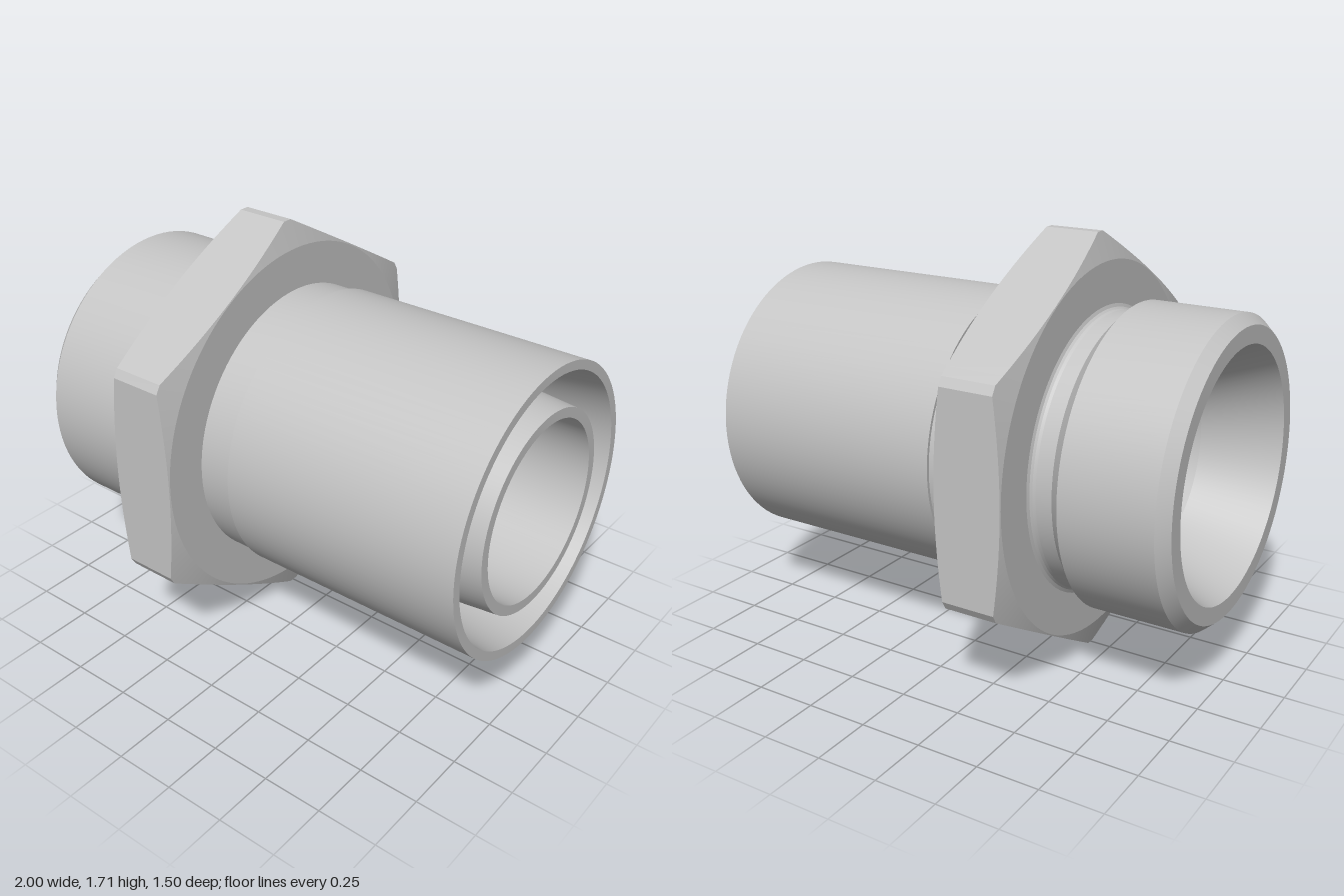
import * as THREE from 'three';
import { toCreasedNormals } from 'three/addons/utils/BufferGeometryUtils.js';

const AXIS_Y = 0.855;
const SEGMENTS = 96;

// Revolve [x, radius] points around the x axis, keeping profile corners sharp
function turned(points) {
  const profile = points.map(([x, r]) => new THREE.Vector2(r, x));
  const geometry = new THREE.LatheGeometry(profile, SEGMENTS);
  geometry.rotateZ(-Math.PI / 2);
  return toCreasedNormals(geometry, 0.15);
}

// Hexagonal collar with conical chamfers and trimmed corners, from rings of points
function hexCollar() {
  const flat = 0.75, corner = 0.855, faceR = 0.745, holeR = 0.54;
  const left = -0.44, right = -0.16, chamfer = 0.03;
  const cut = Math.acos(flat / corner);
  const steps = 20;
  const columns = [];
  for (let side = 0; side < 6; side++) {
    for (let i = 0; i <= steps; i++) {
      const a = -cut + (2 * cut * i) / steps;
      const r = flat / Math.cos(a);
      const inset = (chamfer * (r - faceR)) / (corner - faceR);
      const angle = (side * Math.PI) / 3 + a;
      const ring = [
        [left, holeR], [left, faceR], [left + inset, r],
        [right - inset, r], [right, faceR], [right, holeR],
      ];
      columns.push(ring.map(([x, d]) => [x, d * Math.sin(angle), d * Math.cos(angle)]));
    }
  }
  const positions = [];
  columns.forEach((c, i) => {
    const n = columns[(i + 1) % columns.length];
    for (let k = 0; k < c.length - 1; k++) {
      positions.push(...c[k], ...c[k + 1], ...n[k + 1]);
      positions.push(...c[k], ...n[k + 1], ...n[k]);
    }
  });
  const geometry = new THREE.BufferGeometry();
  geometry.setAttribute('position', new THREE.Float32BufferAttribute(positions, 3));
  return toCreasedNormals(geometry, 0.15);
}

export function createModel() {
  const model = new THREE.Group();
  model.name = 'pipeFitting';
  const steel = new THREE.MeshStandardMaterial({ color: 0xc4c4c4, side: THREE.DoubleSide });
  steel.name = 'steel grey';

  const add = (name, geometry) => {
    const mesh = new THREE.Mesh(geometry, steel);
    mesh.name = name;
    mesh.position.y = AXIS_Y;
    model.add(mesh);
  };

  // Socket end: rim, chamfer, body, undercut and fillet into the collar
  add('socketEnd', turned([
    [-1, 0.495], [-1, 0.565], [-0.955, 0.605], [-0.58, 0.605], [-0.53, 0.552],
    [-0.465, 0.552], [-0.453, 0.555], [-0.445, 0.562], [-0.44, 0.575],
  ]));

  add('hexCollar', hexCollar());

  // Long sleeve with a slightly narrower neck beside the collar
  add('sleeve', turned([
    [-0.16, 0.573], [-0.015, 0.573], [-0.015, 0.585], [1, 0.585], [1, 0.547],
  ]));

  // Tapered ring groove between the sleeve and the inner tube
  add('ringGroove', turned([[1, 0.547], [0.6, 0.498], [0.6, 0.443], [1, 0.407]]));

  // Inner tube tip, through bore and flared socket mouth
  add('bore', turned([[1, 0.407], [1, 0.366], [-0.7, 0.366], [-1, 0.495]]));

  return model;
}
